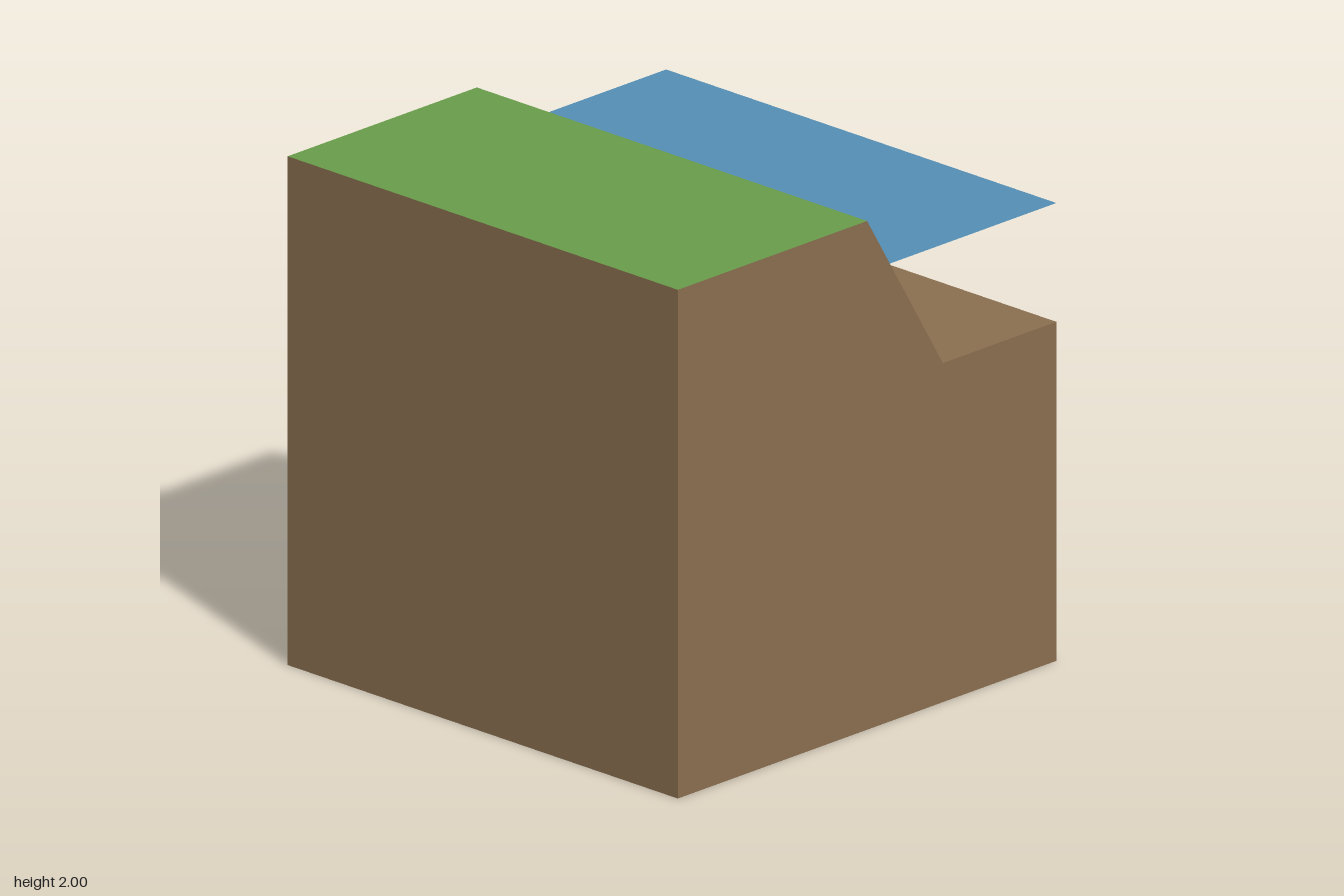
import * as THREE from 'three';

export function createModel() {
  const model = new THREE.Group();
  model.name = 'riverBankTile';

  const material = (name, color) => {
    const m = new THREE.MeshStandardMaterial({ color, side: THREE.DoubleSide });
    m.name = name;
    return m;
  };
  const earth = material('earth brown', 0x8b6f50);
  const grass = material('grass green', 0x689c4a);
  const water = material('water blue', 0x538eb4);

  const add = (name, geometry, mat) => {
    const mesh = new THREE.Mesh(geometry, mat);
    mesh.name = name;
    model.add(mesh);
  };

  // Flat panel spanning the full width between two [z, y] profile points
  const panel = ([z0, y0], [z1, y1]) => {
    const g = new THREE.BufferGeometry();
    g.setAttribute('position', new THREE.Float32BufferAttribute(
      [1, y0, z0, 1, y1, z1, -1, y1, z1, -1, y0, z0], 3));
    g.setIndex([0, 1, 2, 0, 2, 3]);
    g.computeVertexNormals();
    return g;
  };

  // Cross-section of the bank as [z, y]; the underside stays open
  const profile = [[1, 0], [1, 2], [0, 2], [-0.4, 1.333], [-1, 1.333], [-1, 0]];
  const parts = [
    ['frontWall', earth],
    ['grassTop', grass],
    ['bankSlope', earth],
    ['riverBed', earth],
    ['backWall', earth],
  ];
  parts.forEach(([name, mat], i) => add(name, panel(profile[i], profile[i + 1]), mat));

  // Side walls, mirrored left and right
  for (const side of [1, -1]) {
    const outline = new THREE.Shape(profile.map(([z, y]) => new THREE.Vector2(-side * z, y)));
    const wall = new THREE.ShapeGeometry(outline);
    wall.rotateY(side * Math.PI / 2).translate(side, 0, 0);
    add(side > 0 ? 'leftWall' : 'rightWall', wall, earth);
  }

  // Water surface meeting the slope
  add('waterSurface', panel([-0.12, 1.8], [-1, 1.8]), water);

  return model;
}
